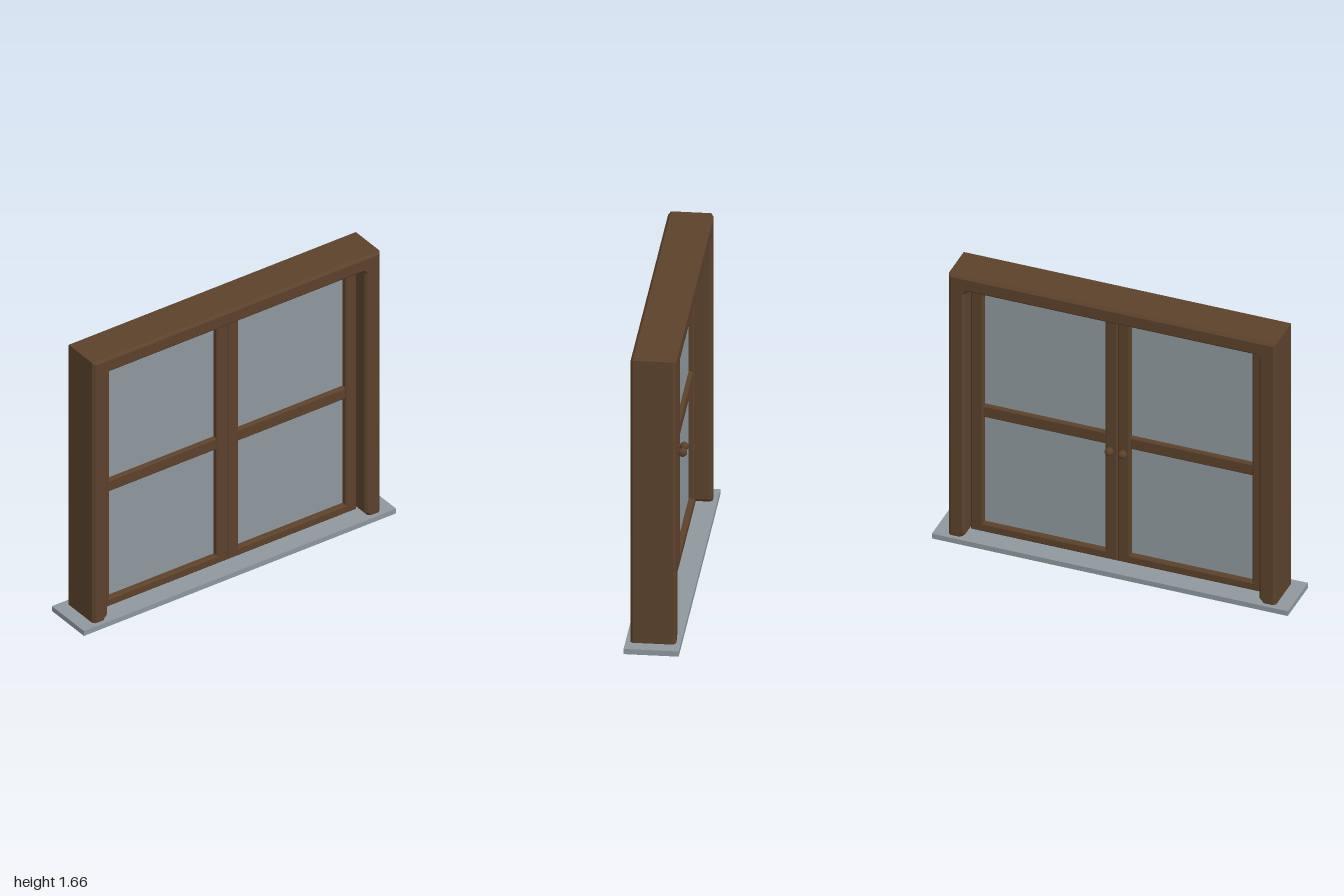
import * as THREE from 'three';

const wood = new THREE.MeshStandardMaterial({ color: 0x5b412b });
wood.name = 'brown wood';
const grey = new THREE.MeshStandardMaterial({ color: 0x8f979d });
grey.name = 'grey glass and stone';

function outline(points) {
  return new THREE.Shape(points.map(([x, y]) => new THREE.Vector2(x, y)));
}

function rect(x0, y0, x1, y1) {
  return outline([[x0, y0], [x1, y0], [x1, y1], [x0, y1]]);
}

// Solid centred on z = 0 whose front and back edges are chamfered inwards
function chamfered(shape, depth, size) {
  const geometry = new THREE.ExtrudeGeometry(shape, {
    depth: depth - 2 * size, bevelEnabled: true, bevelSegments: 1,
    bevelSize: size, bevelThickness: size, bevelOffset: -size,
  });
  return geometry.translate(0, 0, -depth / 2 + size);
}

function add(parent, name, geometry, material, x = 0, y = 0, z = 0) {
  const mesh = new THREE.Mesh(geometry, material);
  mesh.name = name;
  mesh.position.set(x, y, z);
  parent.add(mesh);
  return mesh;
}

// One glazed leaf between x0 and x1, with its knob at knobX on the back
function makeSash(name, x0, x1, knobX) {
  const sash = new THREE.Group();
  sash.name = name;
  const stile = 0.07;
  const bottom = 0.032, top = 1.568;
  const left = x0 + stile, right = x1 - stile;

  const border = rect(x0, bottom, x1, top);
  border.holes.push(rect(left, 0.085, right, 1.515));
  add(sash, 'sashFrame', chamfered(border, 0.07, 0.008), wood);
  add(sash, 'glazingBar', chamfered(rect(left - 0.02, 0.745, right + 0.02, 0.82), 0.056, 0.008), wood);
  add(sash, 'glass', new THREE.BoxGeometry(right - left + 0.02, 1.45, 0.01), grey, (x0 + x1) / 2, 0.8, 0);

  // Knob on a short neck
  add(sash, 'knobNeck', new THREE.CylinderGeometry(0.011, 0.011, 0.03, 16).rotateX(Math.PI / 2), wood, knobX, 0.725, -0.043);
  add(sash, 'knob', new THREE.SphereGeometry(0.024, 20, 14), wood, knobX, 0.725, -0.06);
  return sash;
}

export function createModel() {
  const model = new THREE.Group();
  model.name = 'window';

  // Sill
  add(model, 'sill', new THREE.BoxGeometry(2, 0.03, 0.29), grey, 0, 0.015, 0);

  // Outer frame: two jambs and a head, with clipped inner corners
  const half = [
    [0.92, 0.015], [0.92, 1.66],
  ];
  const inner = [
    [0.808, 1.568], [0.826, 1.55], [0.826, 0.048], [0.842, 0.03], [0.842, 0.015],
  ];
  const mirror = (points) => points.map(([x, y]) => [-x, y]).reverse();
  const frame = outline([...half, ...mirror(half), ...mirror(inner), ...inner]);
  add(model, 'frame', chamfered(frame, 0.24, 0.014), wood);

  // Pair of leaves meeting in the middle
  model.add(makeSash('leftSash', 0, 0.826, 0.037));
  model.add(makeSash('rightSash', -0.826, 0, -0.037));

  return model;
}
